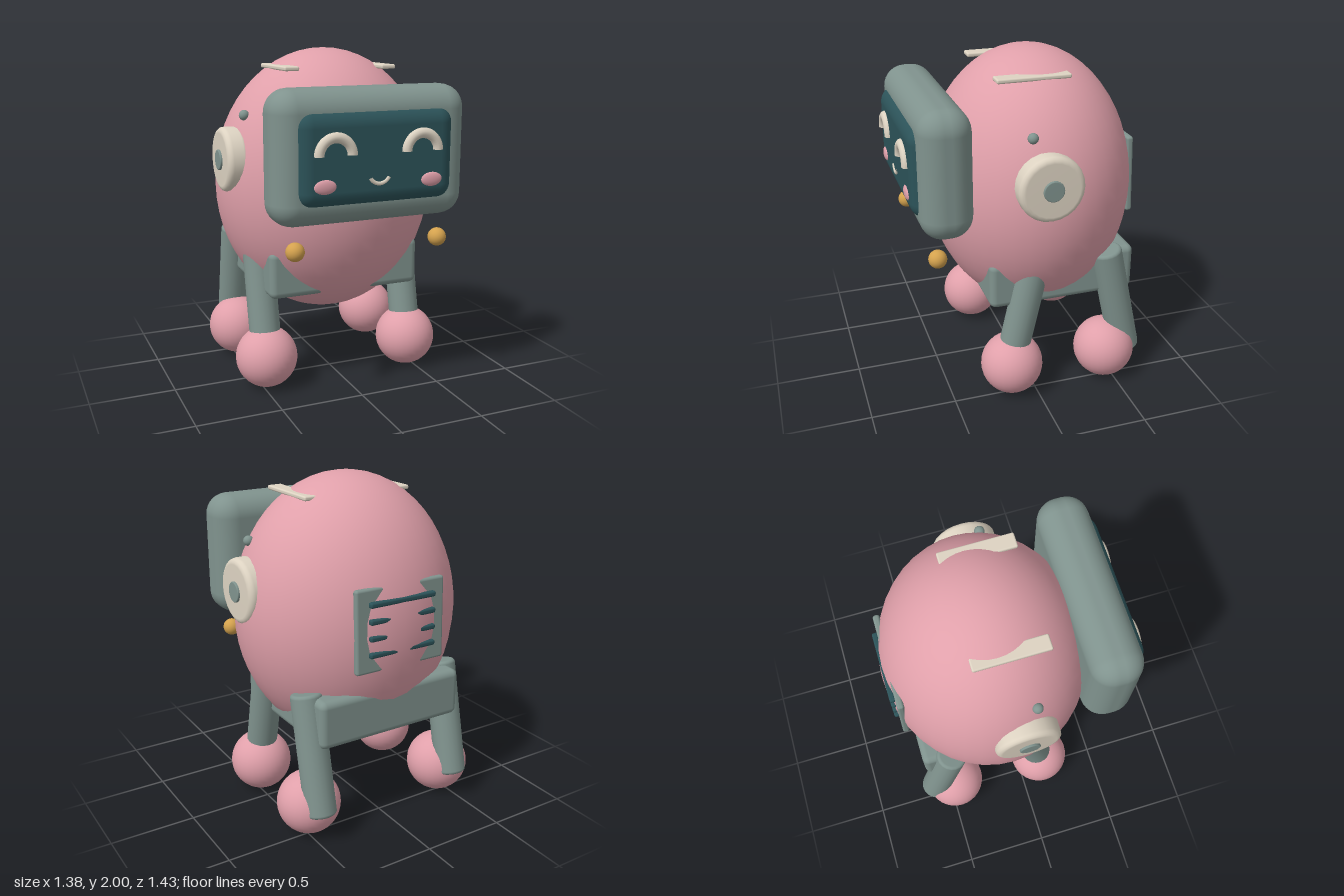
import * as THREE from 'three';
import { RoundedBoxGeometry } from 'three/addons/geometries/RoundedBoxGeometry.js';

const material = (name, color, extra = {}) => {
  const m = new THREE.MeshStandardMaterial({ color, ...extra });
  m.name = name;
  return m;
};

export function createModel() {
  const pink = material('pink', 0xe0a0aa);
  const grey = material('sage grey', 0x80938e);
  const teal = material('dark teal', 0x2c5359);
  const cream = material('cream', 0xddd3c2, { side: THREE.DoubleSide });
  const gold = material('gold', 0xd4a24e);

  const root = new THREE.Group();
  root.name = 'robot';

  function add(name, geometry, mat, x, y, z) {
    const mesh = new THREE.Mesh(geometry, mat);
    mesh.name = name;
    mesh.position.set(x, y, z);
    root.add(mesh);
    return mesh;
  }
  const box = (w, h, d, r, segments = 3) => new RoundedBoxGeometry(w, h, d, segments, r);
  const ball = (r) => new THREE.SphereGeometry(r, 32, 20);

  // Upright cylinder with a softly rounded rim
  function roundedCylinder(radius, height, rim, sides) {
    const h = height / 2;
    const points = [new THREE.Vector2(0, -h)];
    for (const end of [-1, 1]) {
      for (let i = 0; i <= 4; i++) {
        const a = (end < 0 ? i - 4 : i) * Math.PI / 8;
        points.push(new THREE.Vector2(
          radius - rim + rim * Math.cos(a), end * (h - rim) + rim * Math.sin(a)));
      }
    }
    points.push(new THREE.Vector2(0, h));
    return new THREE.LatheGeometry(points, sides);
  }

  // Egg-shaped body and the chassis it sits in
  add('body', new THREE.SphereGeometry(1, 40, 28), pink, 0, 1.2, -0.105).scale.set(0.668, 0.8, 0.61);
  add('chassis', box(0.95, 0.285, 0.89, 0.04), grey, 0, 0.715, -0.18);

  // Face: frame, screen and smile
  add('faceFrame', box(1.15, 0.74, 0.3, 0.13, 4), grey, 0, 1.445, 0.507);
  add('screen', box(0.94, 0.53, 0.2, 0.095, 4), teal, 0, 1.445, 0.593);
  const smile = add('mouth', new THREE.TorusGeometry(0.062, 0.012, 8, 16, 2.2), cream, 0, 1.37, 0.69);
  smile.rotation.z = -Math.PI / 2 - 1.1;

  // Back vent panel with four slots
  add('backPanel', box(0.58, 0.475, 0.04, 0.015), grey, 0, 1.238, -0.657).rotation.x = 0.035;
  for (let i = 0; i < 4; i++) {
    add('ventSlot', box(0.43, 0.032, 0.035, 0.012), teal, 0, 1.39 - i * 0.094, -0.684 - i * 0.002);
  }

  // Mirrored parts
  for (const s of [1, -1]) {
    const side = s > 0 ? 'left' : 'right';

    add(side + 'Eye', new THREE.TorusGeometry(0.095, 0.03, 10, 20, Math.PI), cream, s * 0.255, 1.472, 0.69);
    add(side + 'Cheek', ball(1), pink, s * 0.315, 1.31, 0.69).scale.set(0.065, 0.04, 0.017);

    // Ear disc, its button and the small knob above it
    add(side + 'Ear', roundedCylinder(0.19, 0.13, 0.035, 24), cream, s * 0.612, 1.37, -0.03)
      .rotation.z = -s * Math.PI / 2;
    add(side + 'EarButton', roundedCylinder(0.06, 0.04, 0.006, 20), grey, s * 0.67, 1.37, -0.03)
      .rotation.z = -s * Math.PI / 2;
    add(side + 'Knob', ball(0.03), grey, s * 0.547, 1.63, 0.045);

    add(side + 'TopStripe', box(0.09, 0.026, 0.43, 0.01), cream, s * 0.302, 1.892, -0.033);
    add(side + 'ChestBall', ball(0.053), gold, s * 0.437, 0.94, 0.56);

    // Legs splay towards front and back
    const legs = [
      { end: 'Front', legZ: 0.075, footZ: 0.137, tilt: -0.218 },
      { end: 'Back', legZ: -0.52, footZ: -0.46, tilt: 0.218 },
    ];
    for (const { end, legZ, footZ, tilt } of legs) {
      add(side + end + 'Leg', roundedCylinder(0.093, 0.71, 0.02, 20), grey, s * 0.468, 0.515, legZ)
        .rotation.x = tilt;
      add(side + end + 'Foot', ball(0.185), pink, s * 0.467, 0.188, footZ);
    }
  }
  return root;
}
